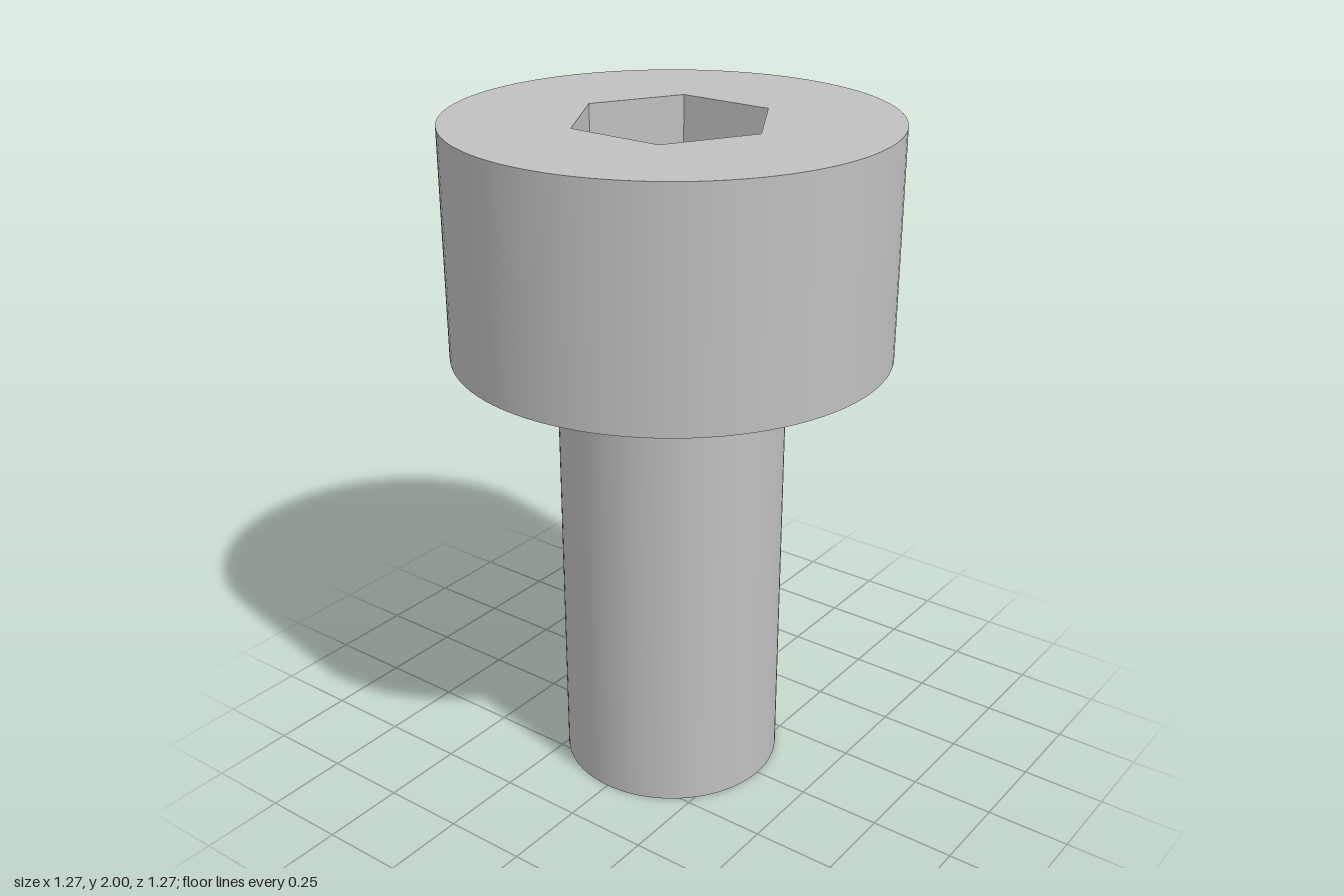
import * as THREE from 'three';

const HEAD_R = 0.633, SHAFT_R = 0.331, HEX_R = 0.2895;
const HEAD_BOTTOM = 1.34, TOP = 2, SOCKET_DEPTH = 0.33;
const SEGMENTS = 96;

export function createModel() {
  const steel = new THREE.MeshStandardMaterial({ color: 0xc0c0c0 });
  steel.name = 'steel grey';

  const group = new THREE.Group();
  group.name = 'socketHeadScrew';

  const add = (name, geometry, y, parent = group) => {
    const mesh = new THREE.Mesh(geometry, steel);
    mesh.name = name;
    mesh.position.y = y;
    parent.add(mesh);
    return mesh;
  };

  // Flat horizontal face, optionally pierced by a hole
  const disc = (radius, sides, up, holeRadius = 0, holeSides = 6) => {
    const ring = (r, n) => Array.from({ length: n }, (_, i) => {
      const a = (i / n) * Math.PI * 2;
      return new THREE.Vector2(r * Math.cos(a), r * Math.sin(a));
    });
    const shape = new THREE.Shape(ring(radius, sides));
    if (holeRadius) shape.holes.push(new THREE.Path(ring(holeRadius, holeSides)));
    return new THREE.ShapeGeometry(shape).rotateX(up ? -Math.PI / 2 : Math.PI / 2);
  };

  const wall = (radius, height) =>
    new THREE.CylinderGeometry(radius, radius, height, SEGMENTS, 1, true);

  // Shaft
  const shaft = new THREE.Group();
  shaft.name = 'shaft';
  add('shaftWall', wall(SHAFT_R, HEAD_BOTTOM), HEAD_BOTTOM / 2, shaft);
  add('shaftEnd', disc(SHAFT_R, SEGMENTS, false), 0, shaft);

  // Head
  const head = new THREE.Group();
  head.name = 'head';
  add('headWall', wall(HEAD_R, TOP - HEAD_BOTTOM), (TOP + HEAD_BOTTOM) / 2, head);
  add('headTop', disc(HEAD_R, SEGMENTS, true, HEX_R), TOP, head);
  add('headUnderside', disc(HEAD_R, SEGMENTS, false, SHAFT_R, SEGMENTS), HEAD_BOTTOM, head);

  // Hexagonal socket: six inward-facing walls and a floor
  const socket = new THREE.Group();
  socket.name = 'socket';
  const apothem = HEX_R * Math.cos(Math.PI / 6);
  for (let i = 0; i < 6; i++) {
    const a = ((i + 0.5) / 6) * Math.PI * 2;
    const side = add('socketWall', new THREE.PlaneGeometry(HEX_R, SOCKET_DEPTH), TOP - SOCKET_DEPTH / 2, socket);
    side.position.x = apothem * Math.sin(a + Math.PI / 2);
    side.position.z = apothem * Math.cos(a + Math.PI / 2);
    side.rotation.y = a + Math.PI * 1.5;
  }
  add('socketFloor', disc(HEX_R, 6, true), TOP - SOCKET_DEPTH, socket);

  group.add(shaft, head, socket);
  return group;
}
